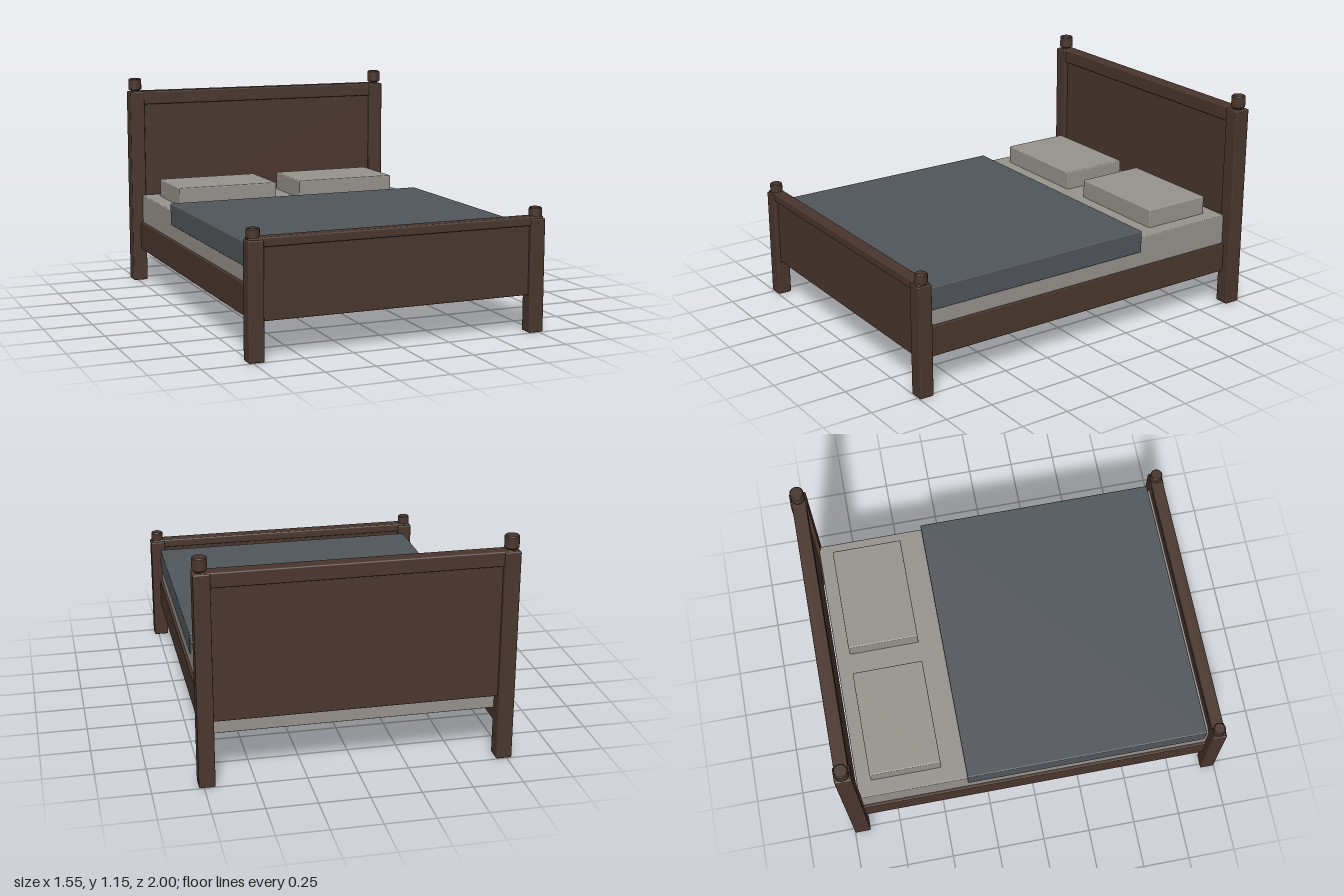
import * as THREE from 'three';
import { RoundedBoxGeometry } from 'three/addons/geometries/RoundedBoxGeometry.js';

const material = (name, color) => {
  const m = new THREE.MeshStandardMaterial({ color });
  m.name = name;
  return m;
};

export function createModel() {
  const bed = new THREE.Group();
  bed.name = 'bed';
  const wood = material('dark wood', 0x49362d);
  const linen = material('linen', 0x96928c);
  const wool = material('grey blanket', 0x51565b);

  // Softly bevelled box given by its extents on each axis
  const box = (name, mat, [x0, x1], [y0, y1], [z0, z1], bevel = 0.005) => {
    const geo = new RoundedBoxGeometry(x1 - x0, y1 - y0, z1 - z0, 2, bevel);
    const mesh = new THREE.Mesh(geo, mat);
    mesh.name = name;
    mesh.position.set((x0 + x1) / 2, (y0 + y1) / 2, (z0 + z1) / 2);
    bed.add(mesh);
  };

  // Turned cap on a short neck
  const finial = (name, x, base, z, r, h, neck) => {
    const b = 0.005;
    const profile = [
      [0, -0.005], [r * 0.6, -0.005], [r * 0.6, neck], [r - b, neck], [r, neck + b],
      [r, h - b], [r - b, h], [0, h],
    ].map(([px, py]) => new THREE.Vector2(px, py));
    // Separate bands keep the cap's edges sharp
    const cap = new THREE.Group();
    cap.name = name;
    for (let i = 0; i < profile.length - 1; i++) {
      const band = new THREE.Mesh(new THREE.LatheGeometry([profile[i], profile[i + 1]], 24), wood);
      band.name = name + 'Band';
      cap.add(band);
    }
    cap.position.set(x, base, z);
    bed.add(cap);
  };

  // Posts, finials and side rails, mirrored left and right
  for (const [side, s] of [['left', 1], ['right', -1]]) {
    const span = (a, b) => (s > 0 ? [a, b] : [-b, -a]);
    box(side + 'HeadPost', wood, span(0.695, 0.775), [0, 1.077], [-1, -0.915], 0.007);
    finial(side + 'HeadFinial', s * 0.738, 1.077, -0.957, 0.036, 0.073, 0.008);
    box(side + 'FootPost', wood, span(0.695, 0.773), [0, 0.572], [0.925, 1], 0.007);
    finial(side + 'FootFinial', s * 0.736, 0.572, 0.962, 0.032, 0.053, 0.002);
    box(side + 'SideRail', wood, span(0.695, 0.73), [0.18, 0.335], [-0.93, 0.94]);
    // Pillow
    box(side + 'Pillow', linen, span(0.07, 0.632), [0.48, 0.587], [-0.85, -0.48], 0.006);
  }

  // Headboard
  box('headTopRail', wood, [-0.74, 0.74], [1.005, 1.08], [-0.993, -0.922], 0.007);
  box('headPanel', wood, [-0.705, 0.705], [0.33, 1.02], [-0.975, -0.938]);

  // Footboard
  box('footTopRail', wood, [-0.765, 0.765], [0.537, 0.582], [0.93, 0.995], 0.007);
  box('footPanel', wood, [-0.705, 0.705], [0.188, 0.55], [0.943, 0.978]);

  // Bedding
  box('mattress', linen, [-0.716, 0.716], [0.245, 0.49], [-0.925, 0.93]);
  box('blanket', wool, [-0.723, 0.723], [0.413, 0.53], [-0.357, 0.912], 0.006);

  return bed;
}
